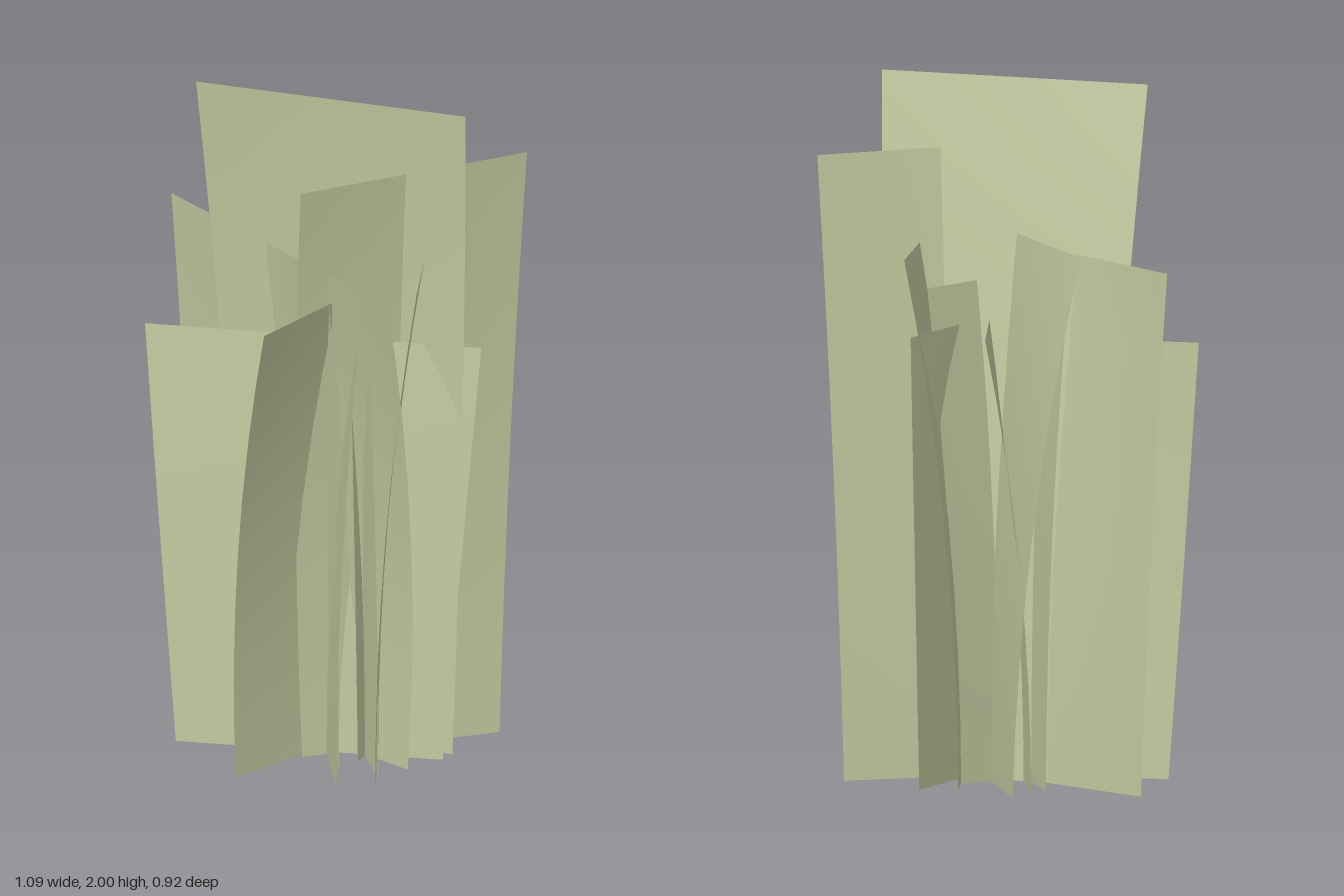
import * as THREE from 'three';

// Each card: height, bottom edge [x0, z0, x1, z1], top edge [x0, z0, x1, z1]
const CARDS = [
  { h: 2.0, bottom: [-0.265, -0.145, 0.335, 0.075], top: [-0.40, -0.03, 0.38, 0.20] },
  { h: 1.79, bottom: [-0.09, 0.12, 0.46, -0.105], top: [-0.085, 0.29, 0.54, -0.065] },
  { h: 1.56, bottom: [-0.05, -0.415, 0.135, 0.275], top: [-0.25, -0.46, 0.10, 0.29] },
  { h: 1.525, bottom: [0.12, -0.26, 0.13, 0.335], top: [0.27, -0.30, 0.25, 0.38] },
  { h: 1.51, bottom: [-0.41, -0.345, 0.215, 0.20], top: [-0.49, -0.40, 0.17, 0.435] },
  { h: 1.51, bottom: [-0.13, -0.25, 0.02, 0.20], top: [-0.20, -0.24, -0.01, 0.205] },
  { h: 1.42, bottom: [-0.27, 0.29, 0.13, -0.155], top: [-0.18, 0.46, 0.22, -0.13] },
  { h: 1.31, bottom: [-0.095, -0.33, 0.02, 0.335], top: [0.03, -0.395, 0.08, 0.375] },
  { h: 1.305, bottom: [0.23, -0.27, 0.07, 0.145], top: [0.25, -0.32, 0.05, 0.18] },
  { h: 1.26, bottom: [-0.455, 0.015, 0.31, 0.12], top: [-0.545, -0.025, 0.42, 0.115] },
];

// A card widens evenly towards the top while its lean grows with the square of height
function cardGeometry({ h, bottom, top }) {
  const corner = (a, i) => new THREE.Vector3(a[i], 0, a[i + 1]);
  const along = corner(top, 2).sub(corner(top, 0)).normalize();
  const ends = [0, 2].map((i) => {
    const start = corner(bottom, i);
    const shift = corner(top, i).sub(start);
    const widen = along.clone().multiplyScalar(shift.dot(along));
    return { start, widen, lean: shift.sub(widen) };
  });
  const edgePoint = (e, t) =>
    e.start.clone().addScaledVector(e.widen, t).addScaledVector(e.lean, t * t);

  const geometry = new THREE.PlaneGeometry(1, 1, 4, 8);
  const pos = geometry.attributes.position;
  for (let i = 0; i < pos.count; i++) {
    const s = pos.getX(i) + 0.5;
    const t = pos.getY(i) + 0.5;
    const p = edgePoint(ends[0], t).lerp(edgePoint(ends[1], t), s);
    pos.setXYZ(i, p.x, t * h, p.z);
  }
  geometry.computeVertexNormals();
  return geometry;
}

export function createModel() {
  const group = new THREE.Group();
  group.name = 'grassClump';
  const material = new THREE.MeshStandardMaterial({ color: 0xc5c99f, side: THREE.DoubleSide });
  CARDS.forEach((card, i) => {
    const blade = new THREE.Mesh(cardGeometry(card), material);
    blade.name = `grassCard${i + 1}`;
    group.add(blade);
  });
  return group;
}
